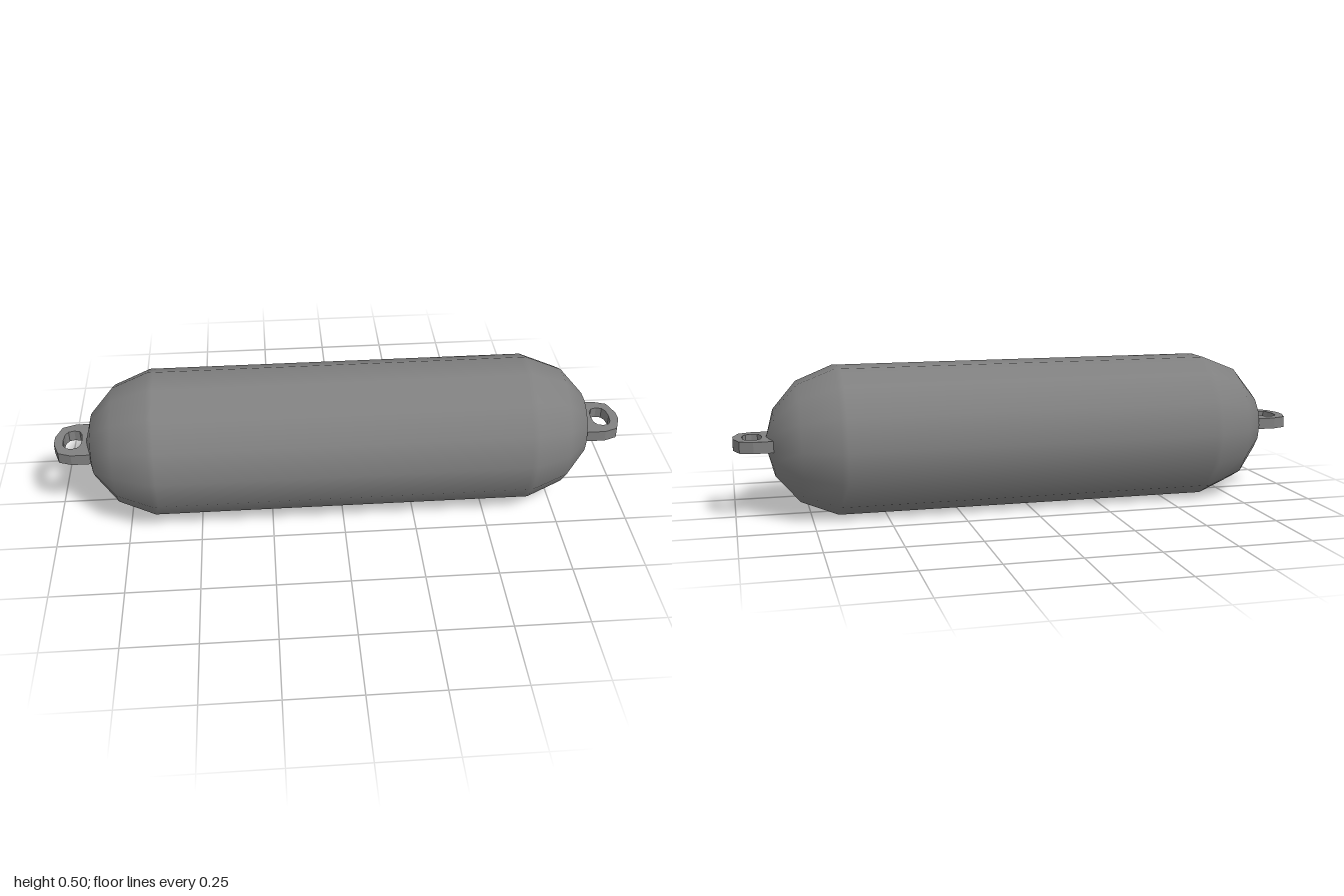
import * as THREE from 'three';

export function createModel() {
  const group = new THREE.Group();
  const grey = new THREE.MeshStandardMaterial({ color: 0x808080 });
  grey.name = 'grey';
  const centreY = 0.251;

  // Capsule body: fourteen-sided lathe laid along x
  const half = [[0.257, 0.64], [0.257, 0.66], [0.206, 0.785], [0.113, 0.865], [0, 0.895]];
  const profile = [
    ...half.slice().reverse().map(([r, x]) => new THREE.Vector2(r, -x)),
    ...half.map(([r, x]) => new THREE.Vector2(r, x)),
  ];
  const body = new THREE.Mesh(new THREE.LatheGeometry(profile, 14), grey);
  body.name = 'body';
  body.rotation.z = -Math.PI / 2;
  body.position.y = centreY;
  group.add(body);

  // Flat end lug with an oval eye
  const outline = [[0.84, -0.094], [0.935, -0.094], [0.98, -0.077], [1, -0.02],
    [1, 0.02], [0.98, 0.077], [0.935, 0.094], [0.84, 0.094]];
  const shape = new THREE.Shape(outline.map(([x, z]) => new THREE.Vector2(x, z)));
  const eye = [];
  for (let i = 0; i < 12; i++) {
    const a = (i / 12) * Math.PI * 2;
    const c = Math.cos(a), s = Math.sin(a);
    eye.push(new THREE.Vector2(
      0.937 + 0.033 * Math.sign(c) * Math.abs(c) ** 0.75,
      0.054 * Math.sign(s) * Math.abs(s) ** 0.75));
  }
  shape.holes.push(new THREE.Path(eye));
  const lugGeometry = new THREE.ExtrudeGeometry(shape, { depth: 0.039, bevelEnabled: false });
  lugGeometry.translate(0, 0, -0.0195);
  lugGeometry.rotateX(-Math.PI / 2);

  // One lug at each end
  [['leftLug', 0], ['rightLug', Math.PI]].forEach(([name, turn]) => {
    const lug = new THREE.Mesh(lugGeometry, grey);
    lug.name = name;
    lug.rotation.y = turn;
    lug.position.y = 0.253;
    group.add(lug);
  });

  return group;
}
